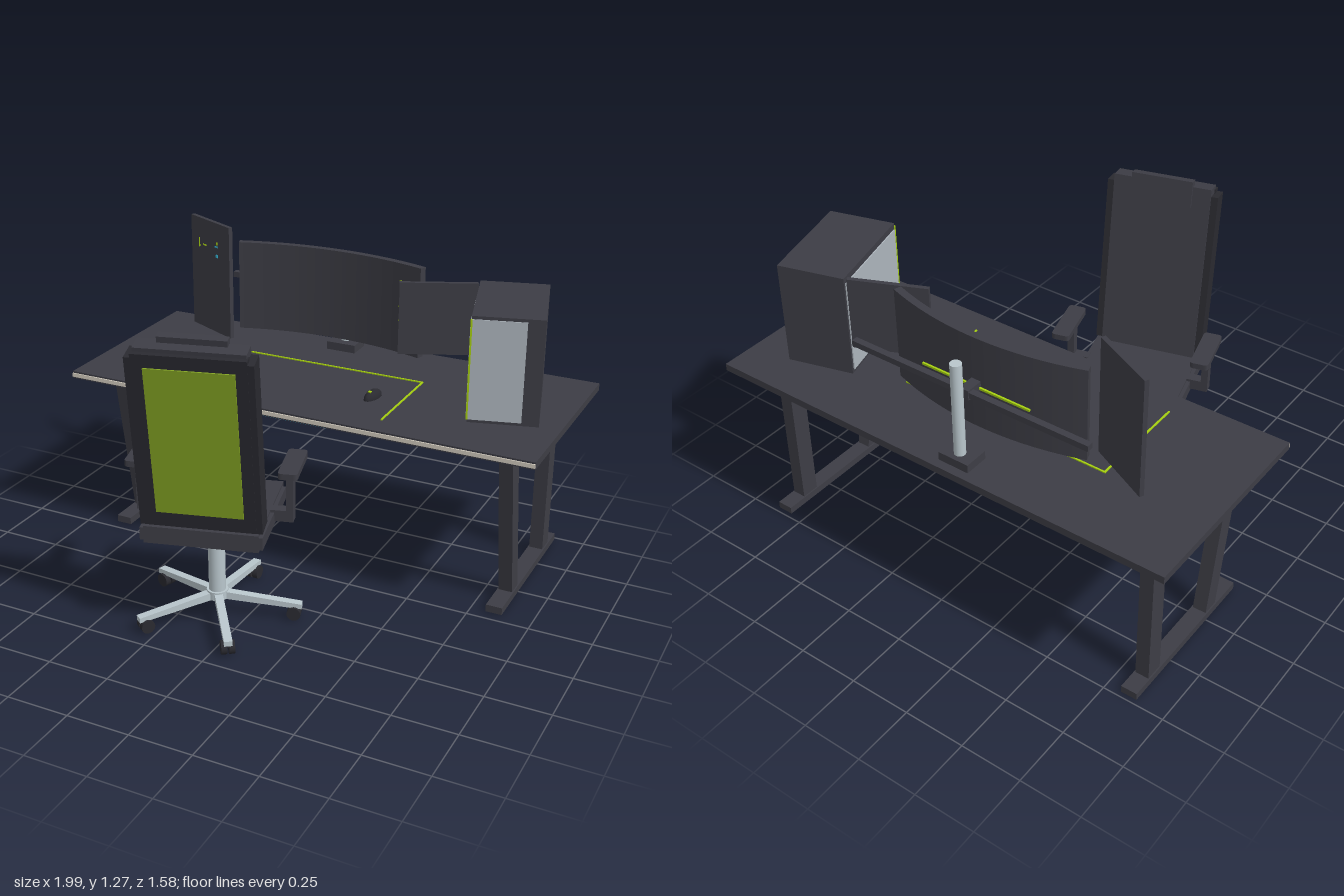
import * as THREE from 'three';

const mat = (name, color, extra = {}) => Object.assign(new THREE.MeshStandardMaterial({ color, ...extra }), { name });
const M = {
  dark: mat('charcoal', 0x3d3d45),
  black: mat('near black', 0x2a2a30),
  green: mat('olive green', 0x84a424),
  lime: mat('lime light', 0xa6d010),
  cyan: mat('cyan light', 0x35b8d8),
  chrome: mat('pale metal', 0xb9c6cc),
  glass: mat('pale glass', 0xaeb6be),
  trim: mat('cream trim', 0xd9d2c4),
};

function add(parent, name, geo, material, x = 0, y = 0, z = 0) {
  const m = new THREE.Mesh(geo, material);
  m.name = name;
  m.position.set(x, y, z);
  parent.add(m);
  return m;
}
const box = (p, name, material, w, h, d, x, y, z) =>
  add(p, name, new THREE.BoxGeometry(w, h, d), material, x, y, z);
const cyl = (p, name, material, r, h, x, y, z) =>
  add(p, name, new THREE.CylinderGeometry(r, r, h, 20), material, x, y, z);

function group(parent, name, x, y, z, ry = 0) {
  const g = new THREE.Group();
  g.name = name;
  g.position.set(x, y, z);
  g.rotation.y = ry;
  parent.add(g);
  return g;
}

// Extruded side profile: points are [z, y], width runs along x
function sideProfile(points, width) {
  const s = new THREE.Shape(points.map(([z, y]) => new THREE.Vector2(-z, y)));
  return new THREE.ExtrudeGeometry(s, { depth: width, bevelEnabled: false })
    .translate(0, 0, -width / 2).rotateY(Math.PI / 2);
}

function buildDesk(root) {
  const g = group(root, 'desk', 0, 0, 0);
  box(g, 'deskTop', M.dark, 1.99, 0.03, 0.84, 0, 0.708, -0.37);
  box(g, 'frontTrim', M.trim, 1.99, 0.016, 0.006, 0, 0.708, 0.052);
  box(g, 'cableTray', M.dark, 1.57, 0.08, 0.11, 0, 0.62, -0.615);
  for (const s of [-1, 1]) {
    const x = s * 0.845;
    box(g, 'foot', M.dark, 0.066, 0.03, 0.685, x, 0.02, -0.388);
    box(g, 'backLeg', M.dark, 0.056, 0.66, 0.075, x, 0.365, -0.608);
    add(g, 'frontLeg', sideProfile([[-0.18, 0.034], [-0.248, 0.034], [-0.138, 0.69], [-0.07, 0.69]], 0.056), M.dark, x);
    box(g, 'topRail', M.dark, 0.056, 0.024, 0.6, x, 0.682, -0.4);
    box(g, 'underLight', M.lime, 0.24, 0.008, 0.008, s * 0.68, 0.689, 0.03);
    // lit outline around the work area
    box(g, 'matSideLight', M.lime, 0.007, 0.005, 0.42, -0.1 + s * 0.45, 0.725, -0.26);
  }
  box(g, 'matBackLight', M.lime, 0.907, 0.005, 0.007, -0.1, 0.725, -0.473);
  box(g, 'underLightCentre', M.cyan, 0.84, 0.008, 0.008, 0, 0.689, 0.03);
  box(g, 'rearUnderLight', M.lime, 1.7, 0.006, 0.007, 0, 0.69, -0.76);
}

function buildMonitors(root) {
  const g = group(root, 'monitors', 0, 0, 0);
  // curved centre screen, bowed away from the seat
  const R = 1.295, cz = 0.685, a = 0.33, t = 0.03;
  const s = new THREE.Shape();
  s.absarc(-0.1, -cz, R, Math.PI / 2 - a, Math.PI / 2 + a, false);
  s.absarc(-0.1, -cz, R - t, Math.PI / 2 + a, Math.PI / 2 - a, true);
  const geo = new THREE.ExtrudeGeometry(s, { depth: 0.38, bevelEnabled: false, curveSegments: 24 }).rotateX(-Math.PI / 2);
  add(g, 'curvedScreen', geo, M.dark, 0, 0.81, 0);
  // lines shown on the curved screen
  [0.905, 0.95, 1.01, 1.055, 1.11].forEach((y, i) => {
    const ang = 0.262, r = R - t - 0.002;
    const m = box(g, 'screenLine', M.lime, 0.035, i === 4 ? 0.018 : 0.006, 0.004,
      -0.1 + Math.sin(ang) * r, y, cz - Math.cos(ang) * r);
    m.rotation.y = -ang;
  });
  box(g, 'screenBackLight', M.lime, 0.47, 0.008, 0.008, -0.1, 0.99, -0.617);

  // mount
  box(g, 'mountBar', M.dark, 1.03, 0.024, 0.026, -0.1, 0.995, -0.664);
  box(g, 'mountJoint', M.dark, 0.04, 0.04, 0.08, -0.1, 0.995, -0.64);
  cyl(g, 'mountPole', M.chrome, 0.022, 0.4, -0.1, 0.945, -0.714);
  box(g, 'mountBase', M.dark, 0.13, 0.035, 0.1, -0.1, 0.74, -0.705);

  // flat side screens
  const left = group(g, 'tallScreen', -0.635, 1.027, -0.503, -0.45);
  box(left, 'tallScreenPanel', M.dark, 0.275, 0.485, 0.018, 0, 0, 0);
  for (const [x, y, w, h, c] of [[-0.078, 0.135, 0.005, 0.04, M.lime], [-0.04, 0.13, 0.02, 0.005, M.lime],
    [0.045, 0.14, 0.02, 0.006, M.cyan], [0.05, 0.1, 0.014, 0.012, M.cyan], [0.05, 0.155, 0.006, 0.012, M.lime]])
    box(left, 'screenMark', c, w, h, 0.003, x, y, 0.0105);
  const right = group(g, 'wideScreen', 0.4, 1.005, -0.483, 0.415);
  box(right, 'wideScreenPanel', M.dark, 0.31, 0.3, 0.018, 0, 0, 0);
}

function buildComputer(root) {
  const g = group(root, 'computerCase', 0.73, 0, -0.395, 0.27);
  box(g, 'caseBody', M.dark, 0.272, 0.425, 0.425, 0, 0.948, 0);
  box(g, 'frontGlass', M.glass, 0.205, 0.4, 0.005, -0.033, 0.948, 0.214);
  box(g, 'sideGlass', M.glass, 0.005, 0.385, 0.41, -0.138, 0.943, 0.002);
  box(g, 'cornerLight', M.lime, 0.007, 0.4, 0.007, -0.136, 0.948, 0.214);
  for (const x of [-0.1, 0.1]) box(g, 'caseFoot', M.black, 0.035, 0.016, 0.36, x, 0.729, 0);

  const mouse = group(root, 'mouse', 0.23, 0.723, -0.245, -0.17);
  const shell = add(mouse, 'mouseShell', new THREE.SphereGeometry(1, 16, 8, 0, Math.PI * 2, 0, Math.PI / 2), M.black);
  shell.scale.set(0.025, 0.034, 0.054);
  box(mouse, 'mouseLight', M.lime, 0.012, 0.006, 0.012, 0, 0.03, 0.022);
}

function buildChair(root) {
  // five-star base
  const base = group(root, 'chairBase', -0.12, 0, 0.415);
  cyl(base, 'gasColumn', M.chrome, 0.033, 0.32, 0, 0.25, 0);
  cyl(base, 'hub', M.chrome, 0.042, 0.035, 0, 0.09, 0);
  for (let i = 0; i < 5; i++) {
    const arm = group(base, 'baseArm', 0, 0, 0, i * Math.PI * 2 / 5);
    add(arm, 'spoke', sideProfile([[0, 0.105], [0, 0.073], [-0.33, 0.05], [-0.33, 0.07]], 0.032), M.chrome);
    for (const s of [-1, 1]) cyl(arm, 'casterWheel', M.black, 0.027, 0.022, s * 0.015, 0.03, -0.3).rotation.z = Math.PI / 2;
    cyl(arm, 'casterStem', M.black, 0.008, 0.03, 0, 0.045, -0.3);
  }

  const g = group(root, 'chair', -0.12, 0, 0.415, 0.27);
  box(g, 'seatCushion', M.dark, 0.43, 0.068, 0.46, 0, 0.441, 0);
  box(g, 'seatEdge', M.dark, 0.46, 0.05, 0.43, 0, 0.442, 0.012);
  box(g, 'seatPan', M.black, 0.42, 0.012, 0.42, 0, 0.404, 0);

  // reclined backrest
  const back = group(g, 'backrest', 0, 0.47, 0.172);
  back.rotation.x = 0.157;
  box(back, 'backCushion', M.dark, 0.40, 0.74, 0.07, 0, 0.372, -0.012);
  box(back, 'backShell', M.black, 0.41, 0.715, 0.035, 0, 0.37, 0.024);
  box(back, 'greenPanel', M.green, 0.325, 0.6, 0.006, 0, 0.376, 0.0435);
  for (const s of [-1, 1]) box(back, 'sideBolster', M.black, 0.03, 0.7, 0.08, s * 0.213, 0.362, 0);
  box(back, 'headrest', M.dark, 0.25, 0.11, 0.035, 0, 0.71, -0.04);

  // armrests
  const pad = new THREE.Shape();
  const w = 0.037, l = 0.112, c = 0.016;
  pad.moveTo(-w + c, -l).lineTo(w - c, -l).quadraticCurveTo(w, -l, w, -l + c)
    .lineTo(w, l - c).quadraticCurveTo(w, l, w - c, l)
    .lineTo(-w + c, l).quadraticCurveTo(-w, l, -w, l - c)
    .lineTo(-w, -l + c).quadraticCurveTo(-w, -l, -w + c, -l);
  const padGeo = new THREE.ExtrudeGeometry(pad, { depth: 0.024, bevelEnabled: false, curveSegments: 4 }).rotateX(-Math.PI / 2);
  for (const s of [-1, 1]) {
    add(g, 'armPad', padGeo, M.dark, s * 0.29, 0.632, -0.036);
    box(g, 'armPost', M.dark, 0.028, 0.2, 0.042, s * 0.288, 0.534, 0);
    box(g, 'armBracket', M.dark, 0.09, 0.045, 0.042, s * 0.257, 0.455, 0);
  }
}

export function createModel() {
  const root = new THREE.Group();
  root.name = 'workstation';
  buildDesk(root);
  buildMonitors(root);
  buildComputer(root);
  buildChair(root);
  return root;
}
